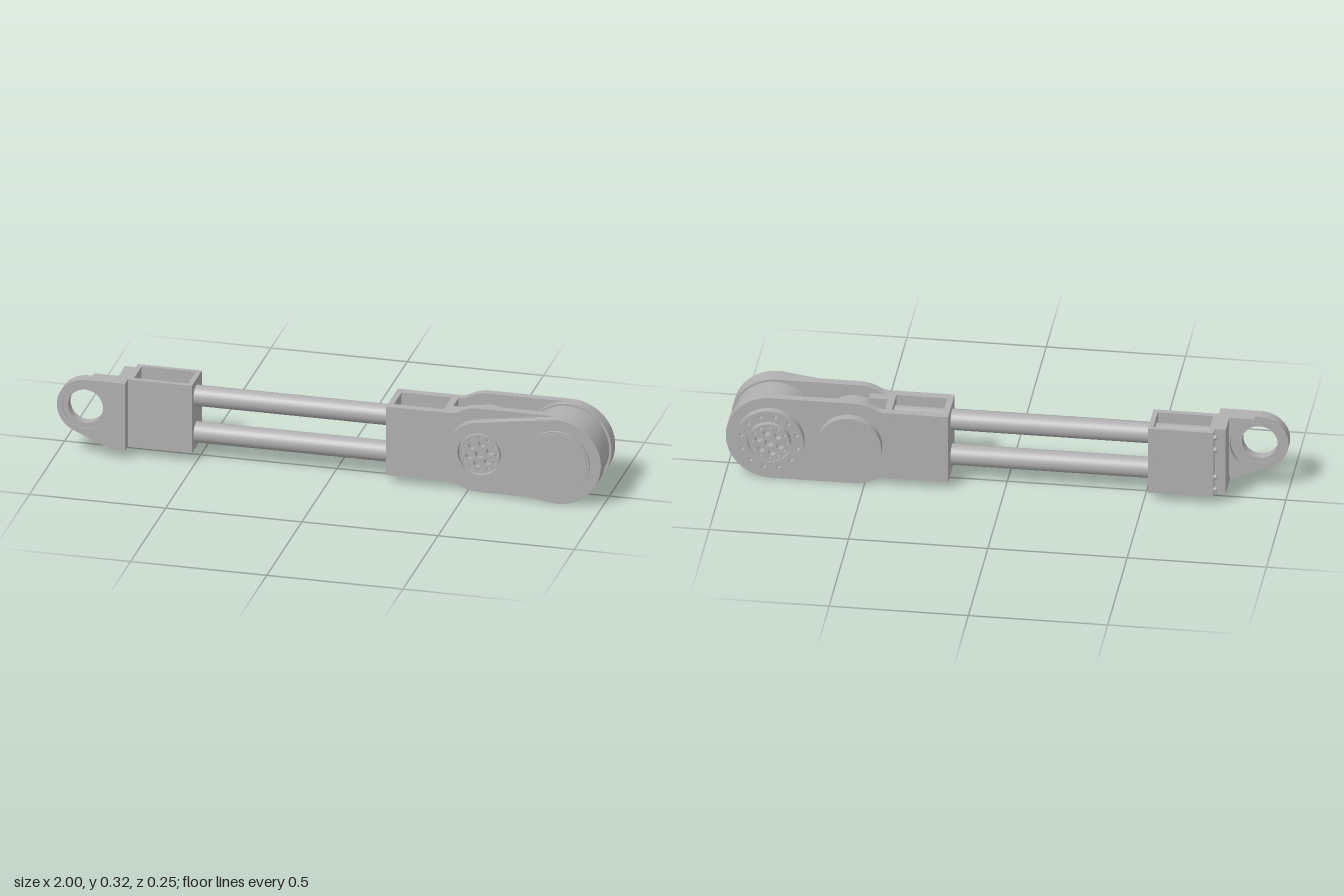
import * as THREE from 'three';
import { toCreasedNormals } from 'three/addons/utils/BufferGeometryUtils.js';

const CY = 0.163;               // height of the joint axes
const BIG = { x: 0.837, r: 0.161 };
const SMALL = { x: 0.552, r: 0.12 };

export function createModel() {
  const model = new THREE.Group();
  model.name = 'robotArmLink';
  const metal = new THREE.MeshStandardMaterial({ color: 0xb0b0b0 });
  metal.name = 'grey metal';

  const add = (name, geo, x = 0, y = 0, z = 0) => {
    const mesh = new THREE.Mesh(geo, metal);
    mesh.name = name;
    mesh.position.set(x, y, z);
    model.add(mesh);
    return mesh;
  };
  const slab = (name, shape, z0, z1) => {
    const geo = new THREE.ExtrudeGeometry(shape, { depth: z1 - z0, bevelEnabled: false, curveSegments: 32 });
    return add(name, toCreasedNormals(geo, 0.4), 0, 0, z0);
  };
  const box = (name, x0, x1, y0, y1, z0, z1) =>
    add(name, new THREE.BoxGeometry(x1 - x0, y1 - y0, z1 - z0), (x0 + x1) / 2, (y0 + y1) / 2, (z0 + z1) / 2);
  const drum = (name, x, y, r, z0, z1, sides = 64) => {
    const geo = new THREE.CylinderGeometry(r, r, z1 - z0, sides).rotateX(Math.PI / 2);
    return add(name, geo, x, y, (z0 + z1) / 2);
  };
  const circle = (x, y, r) => new THREE.Path().absarc(x, y, r, 0, Math.PI * 2, true);
  const disc = (x, y, r) => new THREE.Shape().absarc(x, y, r, 0, Math.PI * 2, false);
  const ringPoints = (x, y, r, n, start = 0) => Array.from({ length: n }, (_, i) => {
    const a = start + (i / n) * Math.PI * 2;
    return [x + r * Math.cos(a), y + r * Math.sin(a)];
  });

  // Side plate: square arm end swelling into the big round joint
  const sidePlate = () => {
    const s = new THREE.Shape();
    const h = 0.132;
    s.moveTo(0.2, CY - h);
    s.lineTo(0.43, CY - h);
    s.bezierCurveTo(0.47, CY - h, 0.48, CY - BIG.r, 0.54, CY - BIG.r);
    s.lineTo(BIG.x, CY - BIG.r);
    s.absarc(BIG.x, CY, BIG.r, -Math.PI / 2, Math.PI / 2, false);
    s.lineTo(0.54, CY + BIG.r);
    s.bezierCurveTo(0.48, CY + BIG.r, 0.47, CY + h, 0.43, CY + h);
    s.lineTo(0.2, CY + h);
    s.closePath();
    return s;
  };
  slab('backSidePlate', sidePlate(), -0.09, -0.06);
  const frontPlate = sidePlate();
  frontPlate.holes.push(circle(SMALL.x, CY, 0.08));
  slab('frontSidePlate', frontPlate, 0.048, 0.08);

  // Raised teardrop cover around both joints
  const lean = Math.asin((BIG.r - SMALL.r) / (BIG.x - SMALL.x));
  const t = Math.PI / 2 + lean;
  const cover = new THREE.Shape();
  cover.absarc(BIG.x, CY, BIG.r, -t, t, false);
  cover.absarc(SMALL.x, CY, SMALL.r, t, Math.PI * 2 - t, false);
  cover.closePath();
  cover.holes.push(circle(SMALL.x, CY, 0.08));
  slab('frontJointCover', cover, 0.08, 0.114);

  // Joint drums between the plates
  drum('bigJointFlange', BIG.x, CY, BIG.r, -0.06, -0.04);
  drum('bigJointDrum', BIG.x, CY, 0.152, -0.04, 0.05);
  drum('smallJointDrum', SMALL.x, CY, SMALL.r, -0.06, 0.05);

  // Spoked hub with bolt holes, used on both joints
  const hub = (name, x, z0, z1) => {
    const s = disc(x, CY, 0.074);
    ringPoints(x, CY, 0.04, 6, 0.3).forEach(p => s.holes.push(circle(...p, 0.013)));
    ringPoints(x, CY, 0.062, 12).forEach(p => s.holes.push(circle(...p, 0.005)));
    s.holes.push(circle(x, CY, 0.016));
    slab(name, s, z0, z1);
  };
  hub('frontHub', SMALL.x, 0.09, 0.112);
  drum('frontHubFloor', SMALL.x, CY, 0.08, 0.05, 0.09);

  // Front cap of the big joint
  drum('frontCap', BIG.x, CY, 0.12, 0.114, 0.123);
  drum('frontCapFace', BIG.x, CY, 0.111, 0.123, 0.127);
  ringPoints(BIG.x, CY, 0.108, 6, 0.5).forEach(([x, y]) => drum('frontCapScrew', x, y, 0.008, 0.12, 0.128, 16));

  // Back cap of the big joint: bolted ring and hub
  const backRing = disc(BIG.x, CY, 0.122);
  backRing.holes.push(circle(BIG.x, CY, 0.08));
  ringPoints(BIG.x, CY, 0.103, 12, 0.2).forEach(p => backRing.holes.push(circle(...p, 0.008)));
  slab('backCapRing', backRing, -0.118, -0.09);
  drum('backCapFloor', BIG.x, CY, 0.115, -0.1, -0.09);
  hub('backHub', BIG.x, -0.125, -0.1);

  // Back cap of the small joint
  drum('smallBackCap', SMALL.x, CY, 0.116, -0.122, -0.09);
  ringPoints(SMALL.x, CY, 0.07, 5, 0.4).forEach(([x, y]) => drum('smallCapScrew', x, y, 0.005, -0.124, -0.12, 12));

  // Walls closing the arm clamp
  box('clampInnerWall', 0.2, 0.222, 0.031, 0.295, -0.06, 0.048);
  box('clampOuterWall', 0.405, 0.43, 0.031, 0.295, -0.06, 0.048);
  box('clampBlock', 0.43, 0.5, 0.031, 0.295, 0.012, 0.048);

  // Twin tubes
  for (const y of [0.093, 0.234]) {
    const geo = new THREE.CylinderGeometry(0.038, 0.038, 1.14, 40).rotateZ(Math.PI / 2);
    add('tube', geo, -0.16, y, 0.008);
  }

  // Left clamp: open top and bottom
  box('leftClampFront', -0.75, -0.515, 0.035, 0.295, 0.05, 0.07);
  box('leftClampBack', -0.75, -0.515, 0.035, 0.295, -0.075, -0.058);
  box('leftClampOuterWall', -0.75, -0.732, 0.035, 0.295, -0.058, 0.05);
  box('leftClampInnerWall', -0.533, -0.515, 0.035, 0.295, -0.058, 0.05);
  for (const x of [-0.738, -0.527]) {
    for (const y of [0.05, 0.165, 0.28]) {
      drum('clampScrew', x, y, 0.006, -0.078, -0.07, 12);
      if (y !== 0.165) drum('clampScrew', x, y, 0.006, 0.065, 0.072, 12);
    }
  }
  for (const x of [0.215, 0.415]) {
    for (const y of [0.05, 0.277]) drum('armScrew', x, y, 0.006, -0.093, -0.085, 12);
  }

  // End bracket with eye
  const EX = -0.896, EY = 0.191, ER = 0.104;
  const eye = new THREE.Shape();
  eye.moveTo(-0.75, 0.295);
  eye.lineTo(EX, EY + ER);
  eye.absarc(EX, EY, ER, Math.PI / 2, Math.PI * 1.36, false);
  eye.lineTo(-0.795, 0.035);
  eye.lineTo(-0.75, 0.035);
  eye.closePath();
  eye.holes.push(circle(EX, EY, 0.083));
  slab('eyePlate', eye, 0.068, 0.111);
  const lip = disc(EX, EY, 0.084);
  lip.holes.push(circle(EX, EY, 0.064));
  slab('eyeLip', lip, 0.07, 0.106);
  box('bracketWall', -0.79, -0.75, 0.035, 0.295, -0.045, 0.07);

  // Stiffener hugging the eye
  const rib = new THREE.Shape();
  rib.moveTo(-0.78, 0.05);
  rib.lineTo(-0.78, 0.295);
  rib.lineTo(-0.88, 0.295);
  rib.absarc(EX, EY, ER, 1.42, -1.0, true);
  rib.closePath();
  slab('eyeStiffener', rib, 0.045, 0.07);
  for (const y of [0.05, 0.28]) drum('bracketScrew', -0.765, y, 0.006, 0.105, 0.113, 12);
  for (const y of [0.06, 0.11, 0.22, 0.27]) {
    const geo = new THREE.CylinderGeometry(0.009, 0.009, 0.012, 12).rotateZ(Math.PI / 2);
    add('clampSideScrew', geo, -0.754, y, -0.06);
  }

  return model;
}
